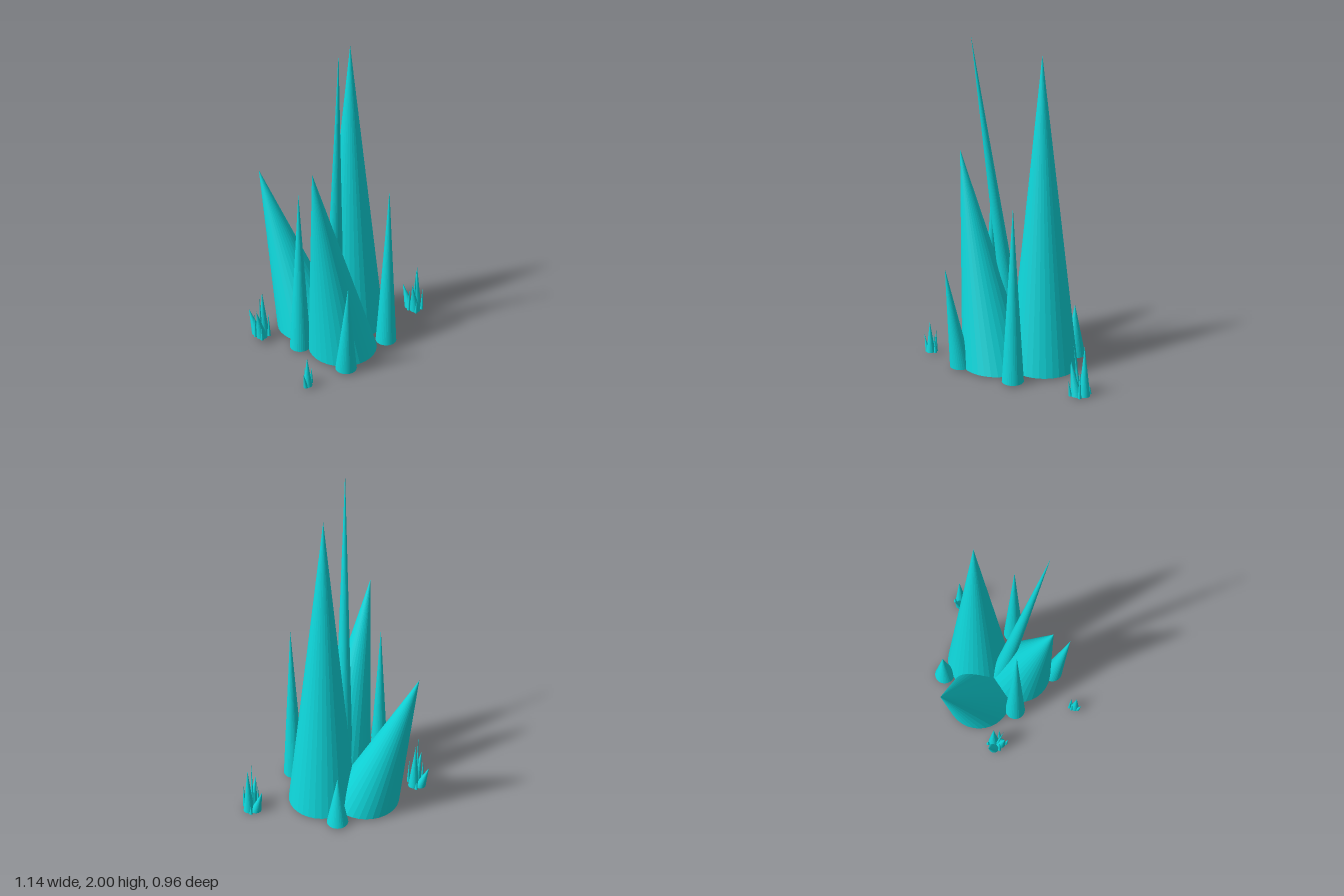
import * as THREE from 'three';

const material = new THREE.MeshStandardMaterial({ color: 0x0ed8dc, flatShading: true });

// Cone with a level round base whose tip is shifted sideways.
// base: [x, y, z], tip: [x, y, z]
function spike(name, radius, base, tip) {
  const height = tip[1] - base[1];
  const geometry = new THREE.ConeGeometry(radius, height, 32);
  geometry.translate(0, height / 2, 0);
  const p = geometry.attributes.position;
  for (let i = 0; i < p.count; i++) {
    const t = p.getY(i) / height;
    p.setX(i, p.getX(i) + t * (tip[0] - base[0]));
    p.setZ(i, p.getZ(i) + t * (tip[2] - base[2]));
  }
  geometry.computeVertexNormals();
  const mesh = new THREE.Mesh(geometry, material);
  mesh.name = name;
  mesh.position.set(...base);
  return mesh;
}

// Full crystal cluster, reused at a small scale for the outlying ones
function cluster(name) {
  const group = new THREE.Group();
  group.name = name;
  const y = 0.01;
  group.add(
    spike('tallSpike', 0.208, [0.083, y, -0.188], [0.065, 1.89, -0.17]),
    spike('frontLeaningSpike', 0.213, [-0.008, y, 0.08], [-0.2, 1.31, 0.255]),
    spike('backLeaningSpike', 0.21, [-0.185, y, -0.187], [-0.467, 1.03, -0.387]),
    spike('needleSpike', 0.065, [-0.045, y, -0.06], [-0.047, 2, 0.215]),
    spike('leftSmallSpike', 0.065, [0.27, y, 0.05], [0.27, 1.07, 0.05]),
    spike('rightSmallSpike', 0.065, [-0.27, y, 0.05], [-0.262, 1.08, 0.052]),
    spike('frontSmallSpike', 0.065, [-0.015, y, 0.305], [-0.015, 0.64, 0.392]),
    spike('backSmallSpike', 0.065, [-0.015, y, -0.417], [-0.015, 0.34, -0.413]),
  );
  return group;
}

export function createModel() {
  const model = new THREE.Group();
  model.name = 'crystalSpikes';
  model.add(cluster('mainCluster'));

  // Two miniature copies at the sides
  for (const [name, x, y, z] of [
    ['rightMiniCluster', -0.5, 0.027, -0.065],
    ['leftMiniCluster', 0.516, -0.0016, -0.278],
  ]) {
    const mini = cluster(name);
    mini.scale.setScalar(0.16);
    mini.position.set(x, y, z);
    model.add(mini);
  }

  // Tiny sprout at the front
  const sprout = new THREE.Group();
  sprout.name = 'frontSprout';
  const y = 0.012;
  sprout.add(
    spike('sproutCenter', 0.027, [-0.261, y, 0.446], [-0.263, 0.21, 0.448]),
    spike('sproutLeaning', 0.014, [-0.274, y, 0.464], [-0.289, 0.12, 0.479]),
    spike('sproutBack', 0.01, [-0.262, y, 0.412], [-0.262, 0.16, 0.41]),
    spike('sproutLeft', 0.01, [-0.237, y, 0.422], [-0.236, 0.12, 0.421]),
    spike('sproutRight', 0.01, [-0.274, y, 0.423], [-0.275, 0.12, 0.422]),
  );
  model.add(sprout);
  return model;
}
